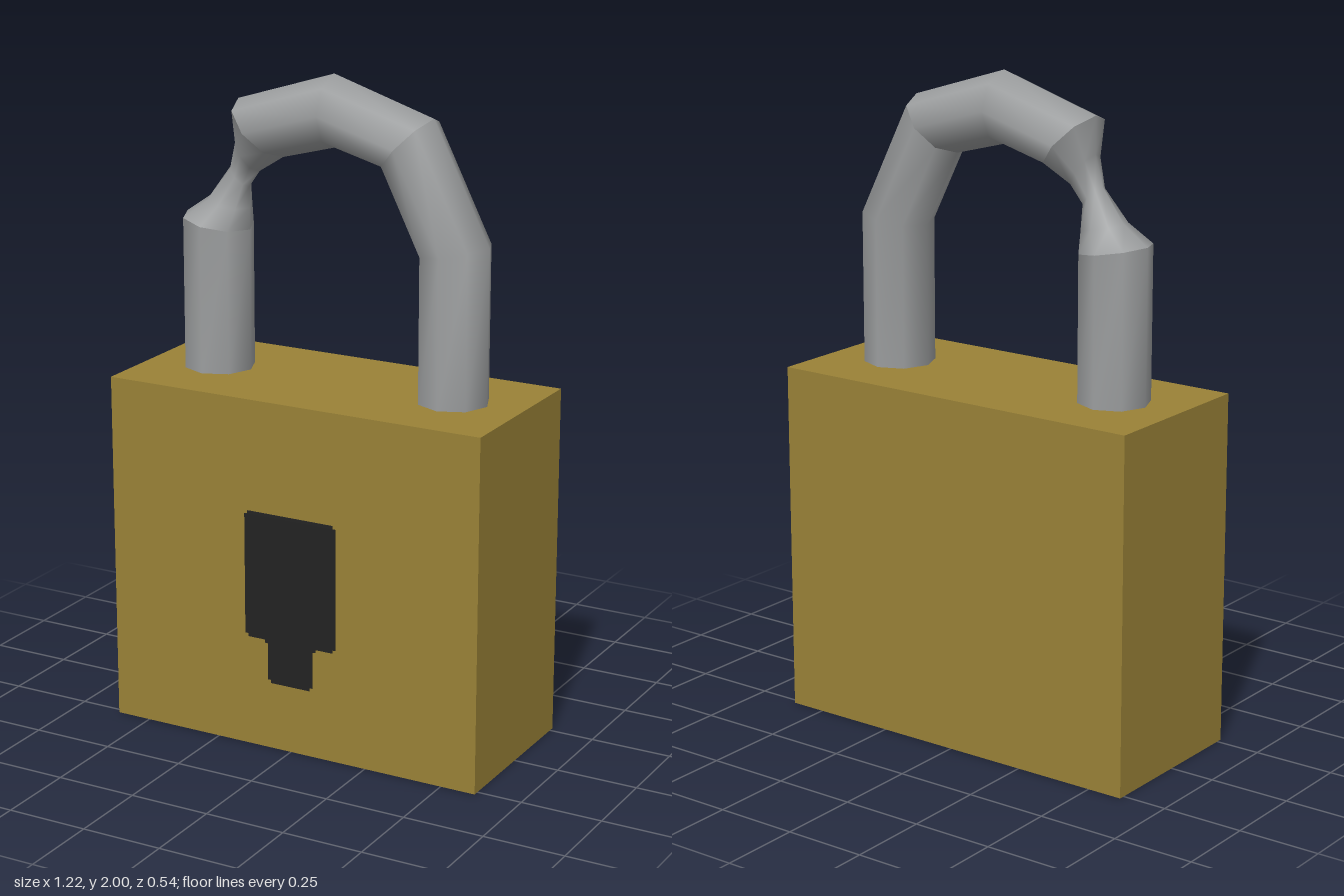
import * as THREE from 'three';

const SIDES = 8;

// Skin a tube through rings given as [outerX, outerY, innerX, innerY, halfDepth]
function ringTube(rings) {
  const pos = [], index = [];
  for (const [ox, oy, ix, iy, depth] of rings) {
    for (let j = 0; j < SIDES; j++) {
      const a = (j / SIDES) * Math.PI * 2, c = Math.cos(a) / 2;
      pos.push((ox + ix) / 2 + (ox - ix) * c, (oy + iy) / 2 + (oy - iy) * c, depth * Math.sin(a));
    }
  }
  for (let i = 0; i < rings.length - 1; i++) {
    for (let j = 0; j < SIDES; j++) {
      const a = i * SIDES + j, b = i * SIDES + (j + 1) % SIDES;
      index.push(a, a + SIDES, b, b, a + SIDES, b + SIDES);
    }
  }
  const geo = new THREE.BufferGeometry();
  geo.setAttribute('position', new THREE.Float32BufferAttribute(pos, 3));
  geo.setIndex(index);
  geo.computeVertexNormals();
  return geo;
}

export function createModel() {
  const brass = new THREE.MeshStandardMaterial({ color: 0x9a8237 });
  const steel = new THREE.MeshStandardMaterial({ color: 0x9c9e9f });
  const black = new THREE.MeshStandardMaterial({ color: 0x232323 });
  brass.name = 'brass';
  steel.name = 'steel';
  black.name = 'black';

  const group = new THREE.Group();
  group.name = 'padlock';
  const add = (name, geo, mat) => {
    const mesh = new THREE.Mesh(geo, mat);
    mesh.name = name;
    group.add(mesh);
    return mesh;
  };

  // Lock body
  add('body', new THREE.BoxGeometry(1.22, 1.08, 0.536), brass).position.y = 0.54;

  // Keyhole plate with slightly notched corners
  const half = [[0.065, 0.21], [0.065, 0.22], [0.075, 0.22], [0.075, 0.335], [0.085, 0.335], [0.085, 0.345],
    [0.142, 0.345], [0.142, 0.355], [0.152, 0.355], [0.152, 0.73], [0.142, 0.73], [0.142, 0.74]];
  const outline = [...half, ...half.slice().reverse().map(([x, y]) => [-x, y])];
  const keyhole = new THREE.Shape(outline.map(([x, y]) => new THREE.Vector2(x, y)));
  add('keyhole', new THREE.ExtrudeGeometry(keyhole, { depth: 0.004, bevelEnabled: false }), black).position.z = 0.267;

  // Shackle: sound leg, top arch, then the pinched and broken leg
  const r = 0.108;
  const shoulder = [0.32, 1.9, 0.17, 1.74, r];
  add('leftShackleLeg', ringTube([
    [0.5, 1.06, 0.285, 1.06, r],
    [0.5, 1.545, 0.285, 1.51, r],
    shoulder,
  ]), steel);
  add('shackleArch', ringTube([
    shoulder,
    [0, 2, 0, 1.785, r],
    [-0.32, 1.9, -0.17, 1.74, r],
  ]), steel);
  add('pinchedShackle', ringTube([
    [-0.32, 1.9, -0.17, 1.74, r],
    [-0.32, 1.79, -0.25, 1.69, 0.055],
    [-0.345, 1.7, -0.285, 1.64, 0.035],
    [-0.42, 1.6, -0.285, 1.575, 0.07],
    [-0.5, 1.545, -0.285, 1.51, r],
  ]), steel);
  add('rightShackleLeg', ringTube([
    [-0.5, 1.545, -0.285, 1.51, r],
    [-0.5, 1.06, -0.285, 1.06, r],
  ]), steel);

  return group;
}
